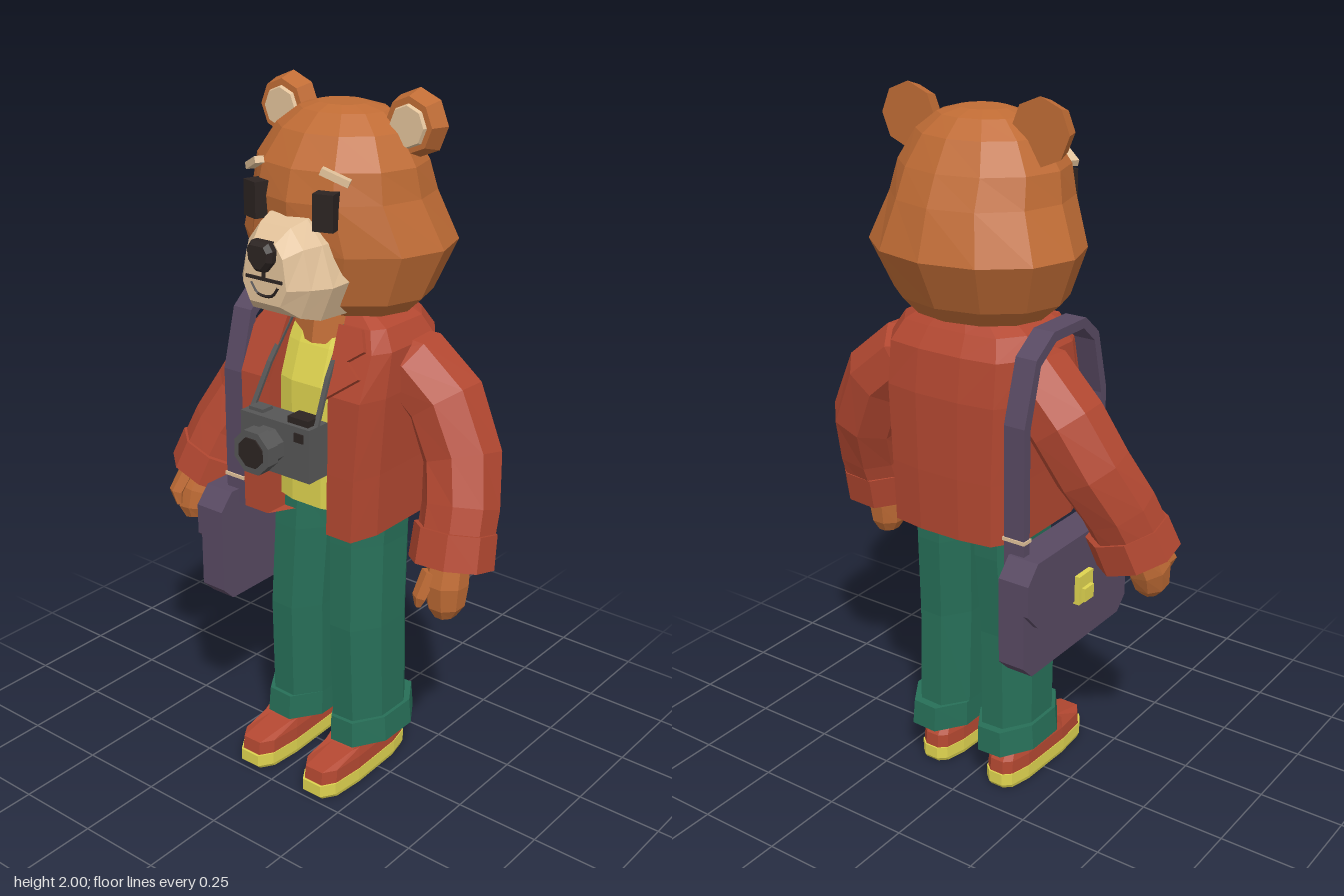
import * as THREE from 'three';

const FUR = 0xc06c35, RED = 0xb34831, GREEN = 0x276f58, YELLOW = 0xdfd450, PURPLE = 0x584962;
const CREAM = 0xe2c29a, GREY = 0x565656, DARK = 0x2c2422;
const CX = 0.035; // body centre line
const V = (x, y, z) => new THREE.Vector3(x, y, z);

export function createModel() {
  const root = new THREE.Group();
  root.name = 'bearWithCamera';

  function add(geo, color, name, x = 0, y = 0, z = 0) {
    const mesh = new THREE.Mesh(geo, new THREE.MeshStandardMaterial({ color, flatShading: true }));
    mesh.name = name;
    mesh.position.set(x, y, z);
    root.add(mesh);
    return mesh;
  }
  const box = (w, h, d, color, name, x, y, z) => add(new THREE.BoxGeometry(w, h, d), color, name, x, y, z);

  // Skin a list of equal-length closed rings and cap both ends; faces are turned outward
  function loft(rings) {
    const n = rings[0].length, tris = [];
    const centre = (r) => r.reduce((s, p) => s.add(p), V(0, 0, 0)).divideScalar(n);
    for (let i = 0; i < rings.length - 1; i++)
      for (let j = 0; j < n; j++) {
        const k = (j + 1) % n, a = rings[i][j], b = rings[i][k], c = rings[i + 1][k], d = rings[i + 1][j];
        tris.push([a, b, c], [a, c, d]);
      }
    const first = rings[0], last = rings[rings.length - 1], c0 = centre(first), c1 = centre(last);
    for (let j = 0; j < n; j++) {
      const k = (j + 1) % n;
      tris.push([c0, first[k], first[j]], [c1, last[j], last[k]]);
    }
    const volume = tris.reduce((s, [a, b, c]) => s + a.clone().sub(c0).dot(b.clone().sub(c0).cross(c.clone().sub(c0))), 0);
    const points = tris.flatMap(([a, b, c]) => (volume < 0 ? [a, c, b] : [a, b, c]));
    const geo = new THREE.BufferGeometry().setFromPoints(points);
    geo.computeVertexNormals();
    return geo;
  }

  // Limb: sections [x, y, z, radius across, radius deep] set square to the path
  function limb(sections, n = 8, turn = Math.PI / 8) {
    const centres = sections.map((s) => V(s[0], s[1], s[2]));
    return loft(sections.map((s, i) => {
      const t = centres[Math.min(i + 1, centres.length - 1)].clone().sub(centres[Math.max(i - 1, 0)]).normalize();
      const u = t.clone().cross(V(0, 0, 1)).normalize(), v = u.clone().cross(t);
      return Array.from({ length: n }, (_, j) => {
        const a = (j / n) * Math.PI * 2 + turn;
        return centres[i].clone().addScaledVector(u, Math.cos(a) * s[3]).addScaledVector(v, Math.sin(a) * s[4]);
      });
    }));
  }

  // Ring at height y from a half outline [x, z], mirrored about cx
  const mirrorRing = (half, y, cx) => [
    ...half.map(([x, z]) => V(cx + x, y, z)),
    ...half.slice().reverse().map(([x, z]) => V(cx - x, y, z)),
  ];
  const polygon = (pts) => new THREE.Shape(pts.map(([x, y]) => new THREE.Vector2(x, y)));
  const extrude = (pts, depth) => new THREE.ExtrudeGeometry(polygon(pts), { depth, bevelEnabled: false });

  // Head: height, half width, front z, back z
  const headRows = [
    [1.42, 0.2, 0.1, -0.21], [1.465, 0.25, 0.16, -0.25], [1.6, 0.305, 0.19, -0.315], [1.73, 0.248, 0.2, -0.275],
    [1.81, 0.235, 0.18, -0.238], [1.89, 0.185, 0.125, -0.19], [1.935, 0.125, 0.07, -0.14], [1.95, 0.07, 0.03, -0.09],
  ];
  add(loft(headRows.map(([y, w, zf, zb]) => Array.from({ length: 12 }, (_, j) => {
    const a = (j / 12) * Math.PI * 2;
    return V(CX + Math.cos(a) * w, y, (zf + zb) / 2 + (Math.sin(a) * (zf - zb)) / 2);
  }))), FUR, 'head');
  add(new THREE.CylinderGeometry(0.12, 0.14, 0.12, 8), FUR, 'neck', CX, 1.39, -0.04);

  // Muzzle: half outlines [x, y] stepping forward
  const muzzleRows = [
    [0.08, [[0.065, 1.7], [0.12, 1.64], [0.16, 1.54], [0.115, 1.435]]],
    [0.19, [[0.062, 1.695], [0.11, 1.635], [0.145, 1.53], [0.105, 1.437]]],
    [0.24, [[0.05, 1.68], [0.09, 1.63], [0.115, 1.53], [0.08, 1.45]]],
    [0.285, [[0.035, 1.645], [0.06, 1.61], [0.072, 1.53], [0.05, 1.485]]],
  ];
  add(loft(muzzleRows.map(([z, half]) =>
    mirrorRing(half, 0, CX).map((p) => V(p.x, p.z, z)))), CREAM, 'muzzle');

  // Nose and mouth
  const noseHalf = [[0.028, 1.65], [0.042, 1.63], [0.038, 1.6], [0.014, 1.572]];
  add(loft([[0.25, 1], [0.3, 1], [0.313, 0.75]].map(([z, k]) =>
    mirrorRing(noseHalf, 0, CX).map((p) => V(CX + (p.x - CX) * k, 1.612 + (p.z - 1.612) * k, z)))), DARK, 'nose');
  box(0.008, 0.03, 0.012, DARK, 'mouthStem', CX, 1.565, 0.285);
  box(0.12, 0.008, 0.012, DARK, 'mouthLine', CX, 1.55, 0.284);
  const smile = new THREE.CatmullRomCurve3([[-0.045, 1.535], [-0.025, 1.51], [0, 1.505], [0.025, 1.51], [0.045, 1.535]]
    .map(([x, y]) => V(CX + x, y, 0.284)));
  add(new THREE.TubeGeometry(smile, 10, 0.005, 4), DARK, 'smile');

  for (const s of [-1, 1]) {
    // Eyes, brows and ears
    const eye = box(0.056, 0.095, 0.05, DARK, 'eye', CX + s * 0.113, 1.72, 0.178);
    eye.rotation.y = s * 0.3;
    const brow = box(0.078, 0.018, 0.025, CREAM, 'brow', CX + s * 0.132, 1.806, 0.166);
    brow.rotation.set(0, s * 0.5, -s * 0.4);
    const ear = add(new THREE.CylinderGeometry(0.072, 0.088, 0.05, 8), FUR, 'ear', CX + s * 0.207, 1.912, -0.055);
    ear.rotation.x = Math.PI / 2;
    const inner = add(new THREE.CylinderGeometry(0.052, 0.058, 0.012, 8), CREAM, 'innerEar', CX + s * 0.207, 1.91, -0.027);
    inner.rotation.x = Math.PI / 2;
  }

  // Jacket: height, front opening, width, front z, back z; the front is recessed behind the shirt
  const jacketRows = [
    [0.82, 0.105, 0.215, 0.168, -0.245], [1.0, 0.105, 0.22, 0.165, -0.25], [1.22, 0.1, 0.232, 0.155, -0.25],
    [1.34, 0.098, 0.23, 0.103, -0.235], [1.395, 0.09, 0.2, 0.075, -0.2], [1.43, 0.08, 0.14, 0.05, -0.175],
  ];
  add(loft(jacketRows.map(([y, gap, w, zf, zb]) => mirrorRing(
    [[gap, 0.0], [gap, zf], [w * 0.88, zf], [w, zf * 0.5], [w, zb * 0.6], [w * 0.75, zb * 0.94], [w * 0.3, zb]], y, CX))), RED, 'jacket');
  // Shirt showing in the opening
  add(loft([[0.865, 0.125], [1.22, 0.125], [1.32, 0.09], [1.38, 0.06]].map(([y, zf]) =>
    mirrorRing([[0.05, zf], [0.115, zf - 0.02], [0.115, -0.08]], y, CX))), YELLOW, 'shirt');
  // Notched lapels
  for (const s of [-1, 1]) {
    const pts = [[0.085, 0.19], [0.16, 0.19], [0.185, 0.135], [0.14, 0.1], [0.19, 0.062], [0.1, -0.01]];
    const lapel = add(extrude(pts.map(([x, y]) => [s * x, y]), 0.014), RED, 'lapel', CX, 1.22, 0.156);
    lapel.rotation.x = -0.42;
  }

  // Sleeves with turned cuffs, and hands
  const arms = [
    { name: 'left', path: [[0.17, 1.285, -0.08, 0.08, 0.1], [0.24, 1.265, -0.09, 0.105, 0.115], [0.335, 1.18, -0.1, 0.11, 0.115],
      [0.405, 1.04, -0.085, 0.11, 0.11], [0.435, 0.92, -0.04, 0.108, 0.105], [0.443, 0.81, 0, 0.108, 0.1]],
      cuff: [[0.438, 0.865, -0.015, 0.116, 0.11], [0.444, 0.77, 0.01, 0.12, 0.113]],
      hand: [[0.445, 0.8, 0.015, 0.055, 0.06], [0.445, 0.72, 0.03, 0.06, 0.066], [0.445, 0.655, 0.03, 0.052, 0.055], [0.445, 0.622, 0.03, 0.03, 0.035]],
      thumb: [[0.42, 0.76, 0.07, 0.025, 0.025], [0.405, 0.69, 0.095, 0.022, 0.022], [0.4, 0.66, 0.095, 0.01, 0.01]] },
    { name: 'right', path: [[-0.1, 1.285, -0.08, 0.08, 0.1], [-0.18, 1.27, -0.09, 0.105, 0.11], [-0.275, 1.17, -0.095, 0.11, 0.11],
      [-0.345, 1.05, -0.075, 0.11, 0.105], [-0.4, 0.94, -0.03, 0.108, 0.1], [-0.435, 0.83, 0.01, 0.108, 0.096]],
      cuff: [[-0.413, 0.875, -0.005, 0.122, 0.108], [-0.442, 0.79, 0.015, 0.124, 0.11]],
      hand: [[-0.44, 0.82, 0.02, 0.055, 0.058], [-0.455, 0.745, 0.05, 0.062, 0.062], [-0.455, 0.69, 0.065, 0.052, 0.052], [-0.45, 0.66, 0.07, 0.028, 0.03]],
      thumb: [[-0.46, 0.82, 0.08, 0.025, 0.025], [-0.48, 0.75, 0.115, 0.024, 0.022], [-0.47, 0.71, 0.115, 0.01, 0.01]] },
  ];
  for (const { name, path, cuff, hand, thumb } of arms) {
    add(limb(path), RED, name + 'Sleeve');
    add(limb(cuff), RED, name + 'Cuff');
    add(limb(hand), FUR, name + 'Hand');
    add(limb(thumb, 5), FUR, name + 'Thumb');
  }

  // Trousers, turn-ups and shoes
  const shoeHalf = [[0.032, 0.24], [0.058, 0.2], [0.066, 0.1], [0.06, -0.08], [0.045, -0.145], [0.022, -0.166]];
  const shoeRing = (y, k, zMax = 1) => mirrorRing(shoeHalf.map(([x, z]) => [x * k, Math.min(z * k, zMax)]), y, 0);
  for (const s of [-1, 1]) {
    add(limb([[CX + s * 0.1, 0.89, -0.04, 0.102, 0.14], [CX + s * 0.1, 0.75, -0.035, 0.098, 0.145],
      [CX + s * 0.108, 0.5, -0.022, 0.096, 0.142], [CX + s * 0.112, 0.17, -0.03, 0.094, 0.138]]), GREEN, 'trouserLeg');
    add(limb([[CX + s * 0.117, 0.2, -0.035, 0.1, 0.158], [CX + s * 0.12, 0.122, -0.035, 0.104, 0.162]]), GREEN, 'turnUp');
    const x = 0.025 + s * 0.119;
    add(loft([shoeRing(0, 0.95), shoeRing(0.012, 1), shoeRing(0.048, 1)]), YELLOW, 'sole', x);
    add(loft([shoeRing(0.046, 0.97), shoeRing(0.088, 0.95), shoeRing(0.112, 0.85, 0.11), shoeRing(0.15, 0.8, 0.06)]), RED, 'shoe', x);
  }

  // Shoulder bag: side outlines [z, y] extruded toward -x
  const sideways = (pts, depth, name, x) => {
    const m = add(extrude(pts, depth), PURPLE, name, x);
    m.rotation.y = -Math.PI / 2;
  };
  sideways([[0.205, 0.54], [0.165, 0.5], [-0.275, 0.5], [-0.315, 0.54], [-0.315, 0.79], [-0.27, 0.84], [0.16, 0.84], [0.205, 0.79]], 0.08, 'bag', -0.213);
  sideways([[0.205, 0.7], [0.16, 0.65], [-0.27, 0.65], [-0.315, 0.7], [-0.315, 0.79], [-0.27, 0.84], [0.16, 0.84], [0.205, 0.79]], 0.016, 'bagFlap', -0.291);
  box(0.02, 0.085, 0.07, YELLOW, 'claspPlate', -0.312, 0.685, -0.055);
  box(0.014, 0.04, 0.045, YELLOW, 'claspTab', -0.326, 0.67, -0.055);
  // Strap loop over the shoulder
  sideways([[0.13, 0.8], [0.13, 1.2], [0.085, 1.37], [0.02, 1.425], [-0.13, 1.425], [-0.21, 1.37], [-0.262, 1.2], [-0.262, 0.8],
    [-0.235, 0.8], [-0.235, 1.19], [-0.19, 1.35], [-0.12, 1.398], [0.01, 1.398], [0.065, 1.35], [0.105, 1.19], [0.105, 0.8]], 0.064, 'bagStrap', -0.192);
  for (const z of [0.1175, -0.2485]) box(0.07, 0.01, 0.034, CREAM, 'strapRing', -0.224, 0.88, z);

  // Camera hanging on the chest
  box(0.238, 0.152, 0.075, GREY, 'cameraBody', 0.03, 1.078, 0.212);
  box(0.07, 0.02, 0.05, DARK, 'cameraDial', 0.1, 1.162, 0.212);
  box(0.05, 0.012, 0.04, GREY, 'cameraButton', -0.05, 1.158, 0.212);
  box(0.03, 0.025, 0.008, DARK, 'viewfinder', 0.115, 1.125, 0.25);
  for (const [r, depth, z, color] of [[0.054, 0.04, 0.265, GREY], [0.064, 0.04, 0.303, GREY], [0.044, 0.006, 0.324, DARK]]) {
    const lens = add(new THREE.CylinderGeometry(r, r, depth, 8), color, 'lens', 0.012, 1.08, z);
    lens.rotation.set(Math.PI / 2, Math.PI / 8, 0);
  }
  for (const s of [-1, 1])
    add(limb([[0.03 + s * 0.112, 1.14, 0.215, 0.01, 0.006], [CX + s * 0.1, 1.27, 0.155, 0.01, 0.006],
      [CX + s * 0.09, 1.39, 0.07, 0.01, 0.006]], 4, Math.PI / 4), GREY, 'cameraStrap');

  return root;
}
